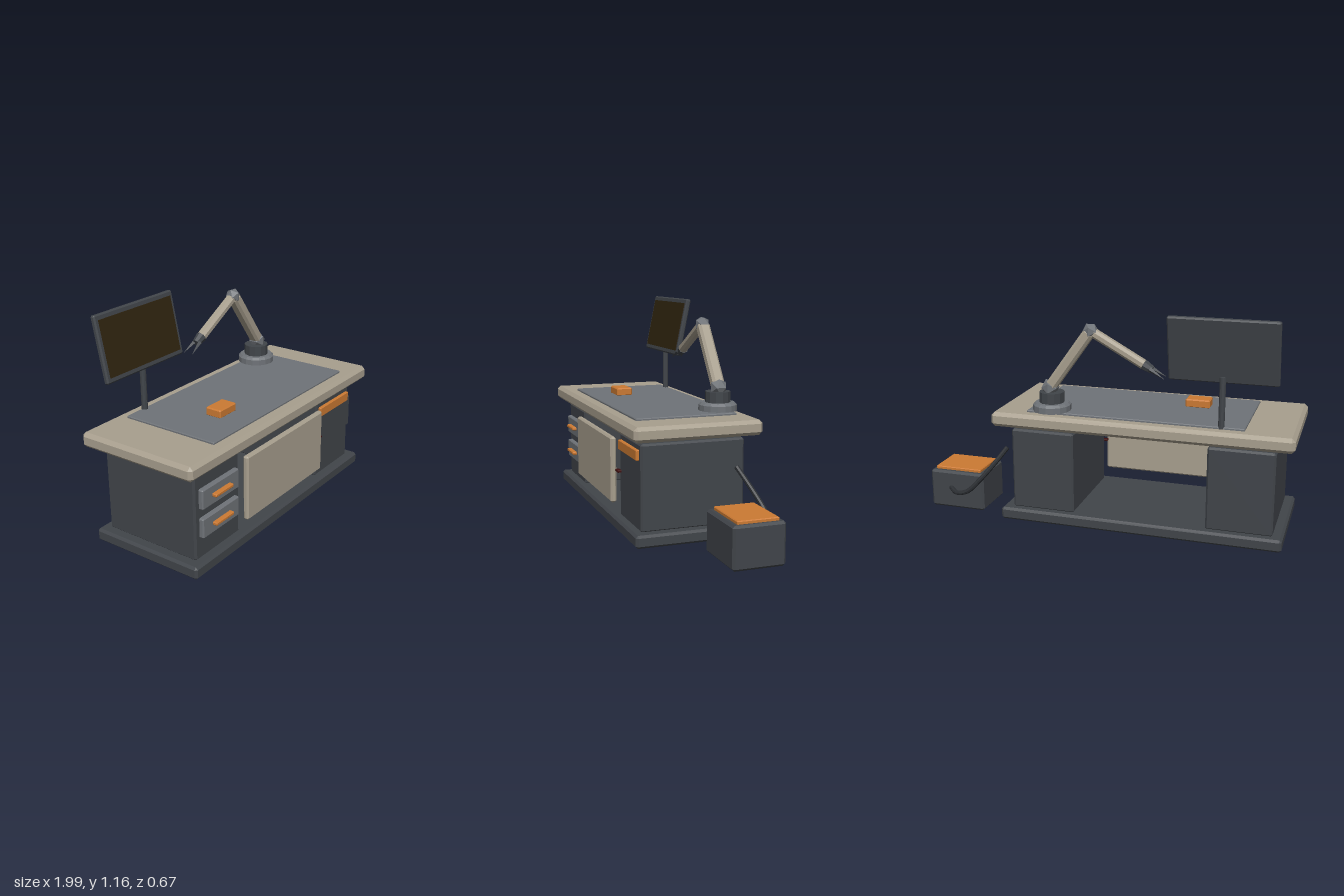
import * as THREE from 'three';
import { ConvexGeometry } from 'three/addons/geometries/ConvexGeometry.js';

const material = (color) => new THREE.MeshStandardMaterial({ color, flatShading: true });
const MAT = {
  beige: material(0xa89f8e),
  dark: material(0x41454a),
  black: material(0x2c2f33),
  grey: material(0x6f7378),
  orange: material(0xcc7a33),
  screen: material(0x30240f),
  red: material(0x401010),
};

// Box with every edge cut at 45 degrees
function chamferBox(w, h, d, c) {
  const points = [];
  for (const x of [-1, 1]) for (const y of [-1, 1]) for (const z of [-1, 1]) {
    for (let full = 0; full < 3; full++) {
      points.push(new THREE.Vector3(
        x * (w / 2 - (full === 0 ? 0 : c)),
        y * (h / 2 - (full === 1 ? 0 : c)),
        z * (d / 2 - (full === 2 ? 0 : c))));
    }
  }
  return new ConvexGeometry(points);
}

function add(parent, name, geometry, mat, x = 0, y = 0, z = 0) {
  const mesh = new THREE.Mesh(geometry, mat);
  mesh.name = name;
  mesh.position.set(x, y, z);
  parent.add(mesh);
  return mesh;
}

// Chamfered box given by its extents on each axis
function block(parent, name, mat, [x0, x1], [y0, y1], [z0, z1], c) {
  return add(parent, name, chamferBox(x1 - x0, y1 - y0, z1 - z0, c), mat,
    (x0 + x1) / 2, (y0 + y1) / 2, (z0 + z1) / 2);
}

function group(parent, name) {
  const g = new THREE.Group();
  g.name = name;
  parent.add(g);
  return g;
}

function buildDesk(model) {
  const desk = group(model, 'desk');
  block(desk, 'basePlate', MAT.dark, [-0.96, 0.545], [0.004, 0.07], [-0.317, 0.317], 0.012);
  block(desk, 'leftCabinet', MAT.dark, [-0.908, -0.565], [0.065, 0.507], [-0.274, 0.274], 0.01);
  block(desk, 'rightCabinet', MAT.dark, [0.145, 0.488], [0.065, 0.507], [-0.274, 0.274], 0.01);
  block(desk, 'tabletop', MAT.beige, [-1, 0.58], [0.53, 0.607], [-0.335, 0.335], 0.018);
  block(desk, 'workMat', MAT.grey, [-0.748, 0.397], [0.6, 0.618], [-0.272, 0.268], 0.004);
  block(desk, 'frontPanel', MAT.beige, [-0.555, 0.133], [0.132, 0.48], [0.288, 0.32], 0.009);
  block(desk, 'panelLatch', MAT.red, [0.125, 0.175], [0.3, 0.311], [0.27, 0.296], 0.002);
  block(desk, 'cabinetTrim', MAT.orange, [0.167, 0.462], [0.422, 0.475], [0.268, 0.291], 0.004);
  block(desk, 'smallBox', MAT.orange, [-0.513, -0.382], [0.614, 0.659], [0.036, 0.126], 0.006);
  // Two drawers with bar handles
  for (const y of [0.232, 0.382]) {
    block(desk, 'drawer', MAT.grey, [-0.876, -0.596], [y - 0.052, y + 0.052], [0.265, 0.298], 0.006);
    block(desk, 'drawerHandle', MAT.orange, [-0.805, -0.668], [y - 0.009, y + 0.009], [0.292, 0.322], 0.004);
  }
}

function buildMonitor(model) {
  const monitor = group(model, 'monitor');
  add(monitor, 'monitorPole', new THREE.CylinderGeometry(0.016, 0.016, 0.262, 10), MAT.dark, -0.63, 0.738, -0.26);
  // Tilted display
  const display = group(monitor, 'display');
  display.position.set(-0.63, 1, -0.272);
  display.rotation.x = -0.2;
  add(display, 'monitorFrame', chamferBox(0.548, 0.332, 0.028, 0.007), MAT.dark);
  add(display, 'screen', new THREE.BoxGeometry(0.505, 0.28, 0.006), MAT.screen, 0, 0, 0.014);
}

function buildRobotArm(model) {
  const arm = group(model, 'robotArm');
  arm.position.set(0.275, 0, -0.217);
  const cyl = (r0, r1, h, n) => new THREE.CylinderGeometry(r0, r1, h, n);
  add(arm, 'armBase', cyl(0.1, 0.1, 0.032, 16), MAT.grey, 0, 0.632, 0);
  add(arm, 'armBaseRim', cyl(0.088, 0.1, 0.012, 16), MAT.grey, 0, 0.654, 0);
  add(arm, 'turret', cyl(0.066, 0.066, 0.056, 12), MAT.dark, 0, 0.688, 0);

  const shoulder = new THREE.Vector2(0.008, 0.737);
  const elbow = new THREE.Vector2(-0.215, 1.048);
  const wrist = new THREE.Vector2(-0.505, 0.888);
  add(arm, 'shoulderJoint', new THREE.IcosahedronGeometry(0.048), MAT.grey, shoulder.x, shoulder.y, 0);
  add(arm, 'elbowJoint', new THREE.IcosahedronGeometry(0.042), MAT.grey, elbow.x, elbow.y, 0);

  const beam = (name, a, b, thick, wide) => {
    const mesh = add(arm, name, chamferBox(a.distanceTo(b), thick, wide, 0.013), MAT.beige,
      (a.x + b.x) / 2, (a.y + b.y) / 2, 0);
    mesh.rotation.z = Math.atan2(b.y - a.y, b.x - a.x);
  };
  beam('upperArm', shoulder, elbow, 0.058, 0.066);
  beam('forearm', elbow, wrist, 0.046, 0.052);

  // Wrist and two pointed fingers, local +y along the forearm
  const gripper = group(arm, 'gripper');
  gripper.position.set(wrist.x, wrist.y, 0);
  gripper.rotation.z = Math.atan2(wrist.y - elbow.y, wrist.x - elbow.x) - Math.PI / 2;
  add(gripper, 'wrist', cyl(0.021, 0.029, 0.05, 8), MAT.dark, 0, 0.014, 0);
  for (const side of [-1, 1]) {
    const finger = add(gripper, 'finger', new THREE.ConeGeometry(0.013, 0.09, 4), MAT.dark, 0, 0.074, side * 0.022);
    finger.rotation.x = side * 0.12;
  }
}

function buildSideUnit(model) {
  const unit = group(model, 'sideUnit');
  block(unit, 'sideBox', MAT.dark, [0.678, 0.994], [0.004, 0.217], [-0.254, 0.012], 0.012);
  block(unit, 'sideBoxLid', MAT.orange, [0.704, 0.972], [0.212, 0.233], [-0.227, -0.015], 0.004);
  // Hose looping from the desk to the back of the box
  const path = new THREE.CatmullRomCurve3([
    [0.545, 0.375, -0.205], [0.61, 0.285, -0.25], [0.68, 0.2, -0.285],
    [0.75, 0.132, -0.298], [0.82, 0.112, -0.29], [0.875, 0.124, -0.248],
  ].map((p) => new THREE.Vector3(...p)));
  add(unit, 'hose', new THREE.TubeGeometry(path, 20, 0.013, 8), MAT.black);
  // Hose end caps
  for (const t of [0, 1]) {
    const cap = add(unit, 'hoseEnd', new THREE.CircleGeometry(0.013, 8), MAT.black);
    const end = path.getPointAt(t);
    cap.position.copy(end);
    cap.lookAt(end.clone().addScaledVector(path.getTangentAt(t), t ? 1 : -1));
  }
}

export function createModel() {
  const model = new THREE.Group();
  model.name = 'workstation';
  buildDesk(model);
  buildMonitor(model);
  buildRobotArm(model);
  buildSideUnit(model);
  return model;
}
